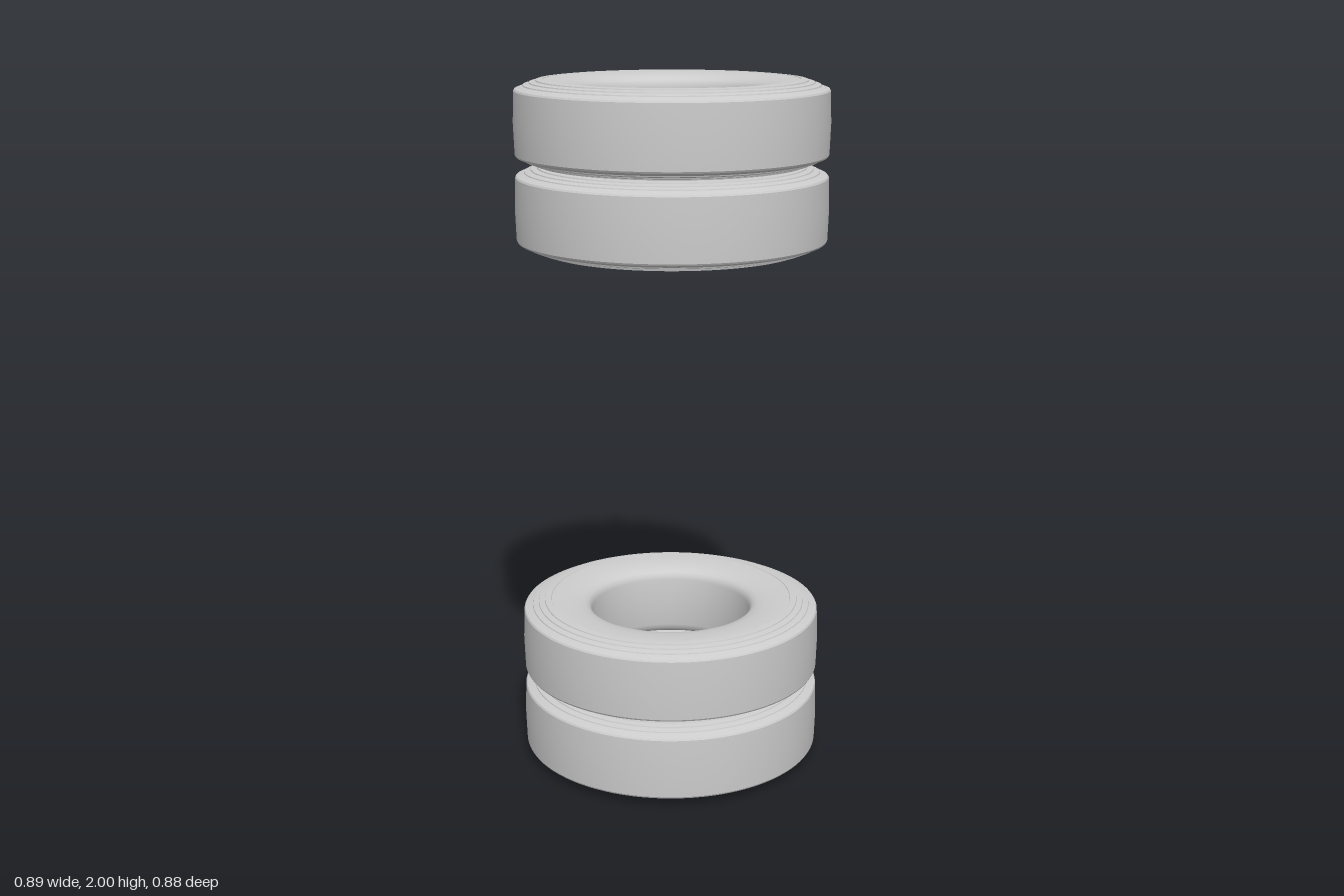
import * as THREE from 'three';
import { toCreasedNormals } from 'three/addons/utils/BufferGeometryUtils.js';

// Upper half of the tyre section as [radius, height above the tyre's mid-plane]
const HALF_SECTION = [
  [0.237, 0], [0.237, 0.075], [0.24, 0.088], [0.247, 0.097], [0.26, 0.104],
  [0.285, 0.11], [0.315, 0.114], [0.357, 0.116],
  // fine ribs on the shoulder
  [0.358, 0.118], [0.377, 0.116], [0.378, 0.113], [0.395, 0.11],
  [0.396, 0.107], [0.413, 0.103], [0.414, 0.1], [0.436, 0.092],
  // tread
  [0.439, 0.087], [0.442, 0],
];

function tyreGeometry() {
  const lower = HALF_SECTION.slice(1, -1).map(([r, y]) => [r, -y]);
  // closed loop, running up the outside and down through the bore
  const loop = [...lower, ...HALF_SECTION.slice().reverse(), lower[0]];
  const points = loop.map(([r, y]) => new THREE.Vector2(r, y));
  return toCreasedNormals(new THREE.LatheGeometry(points, 96), 0.5);
}

export function createModel() {
  const model = new THREE.Group();
  model.name = 'dualTyreSets';
  const rubber = new THREE.MeshStandardMaterial({ color: 0xcccccc });
  rubber.name = 'light grey rubber';
  const geometry = tyreGeometry();

  // Two pairs of tyres sharing one vertical axis
  const pairs = [
    { name: 'lowerTyrePair', y: 0.237, x: -0.002 },
    { name: 'upperTyrePair', y: 1.763, x: 0.002 },
  ];
  for (const { name, x, y } of pairs) {
    const pair = new THREE.Group();
    pair.name = name;
    pair.position.set(x, y, 0);
    for (const side of [-1, 1]) {
      const tyre = new THREE.Mesh(geometry, rubber);
      tyre.name = side < 0 ? 'bottomTyre' : 'topTyre';
      tyre.position.y = side * 0.119;
      pair.add(tyre);
    }
    model.add(pair);
  }
  return model;
}
